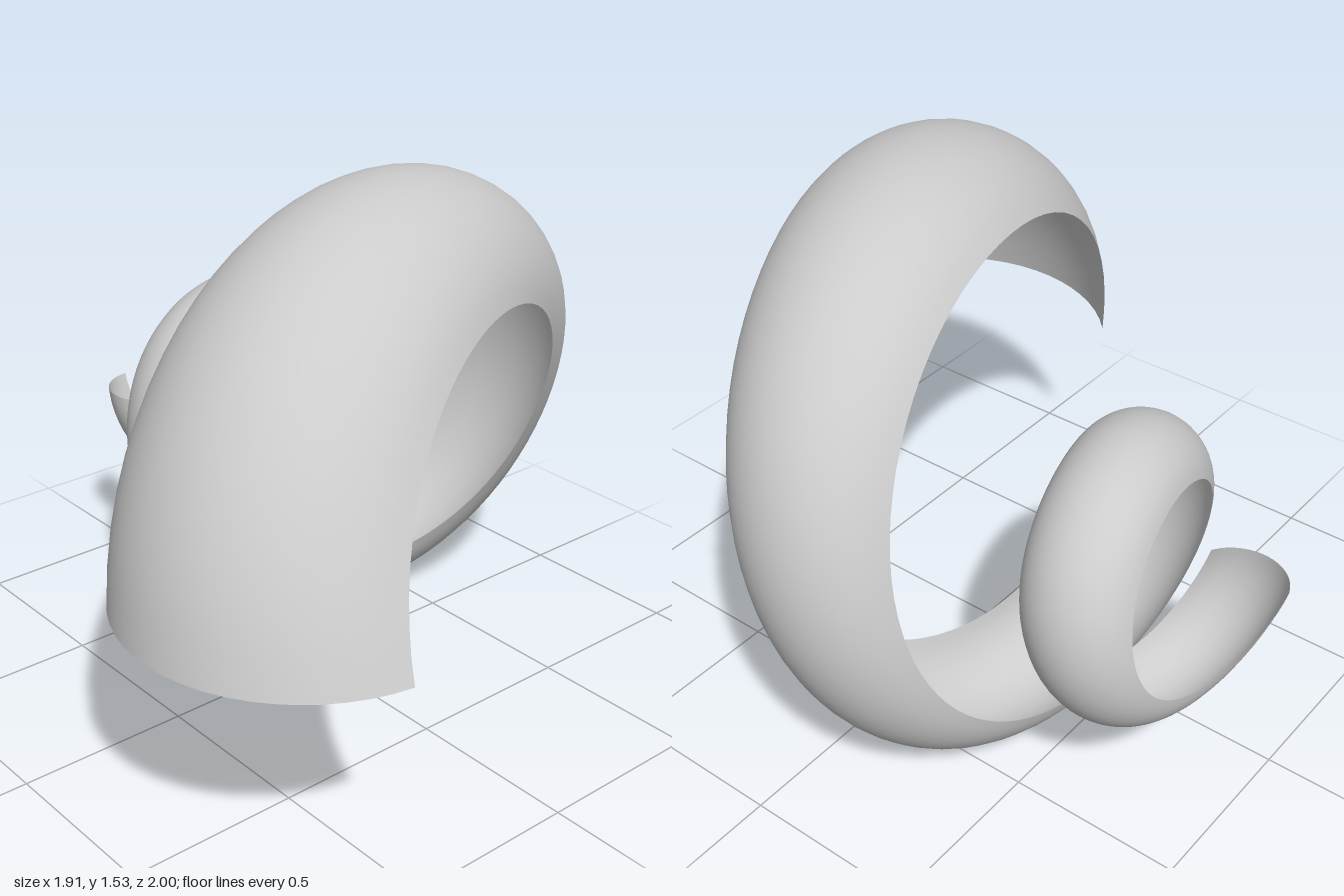
import * as THREE from 'three';

// Spiral axis (runs along z) and mesh resolution
const AXIS_X = 0.22, AXIS_Y = 0.6, TURNS = 2;
const STEPS = 144, ARC = 20;

// A smooth [radius, z] track, one key per quarter turn
const track = (keys) =>
  new THREE.CatmullRomCurve3(keys.map(([r, z]) => new THREE.Vector3(r, z, 0)), false, 'catmullrom', 0.5);

const frontEdge = track([[0.75, 1], [0.615, 0.54], [0.495, 0.16], [0.415, -0.12], [0.35, -0.28],
  [0.3, -0.42], [0.285, -0.51], [0.275, -0.62], [0.25, -0.74]]);
const crest = track([[1.17, 0.5], [0.915, 0.2], [0.73, -0.1], [0.6, -0.33], [0.5, -0.48],
  [0.42, -0.58], [0.38, -0.66], [0.35, -0.75], [0.32, -0.87]]);
const backEdge = track([[1.0, 0.14], [0.75, -0.13], [0.55, -0.35], [0.455, -0.52], [0.37, -0.66],
  [0.295, -0.75], [0.25, -0.83], [0.215, -0.9], [0.19, -1]]);

// Circular arc from a through b to c, sampled evenly
function arcThrough(a, b, c) {
  const d = 2 * (a.x * (b.y - c.y) + b.x * (c.y - a.y) + c.x * (a.y - b.y));
  const [a2, b2, c2] = [a, b, c].map((p) => p.x * p.x + p.y * p.y);
  const cx = (a2 * (b.y - c.y) + b2 * (c.y - a.y) + c2 * (a.y - b.y)) / d;
  const cy = (a2 * (c.x - b.x) + b2 * (a.x - c.x) + c2 * (b.x - a.x)) / d;
  const radius = Math.hypot(a.x - cx, a.y - cy);
  const start = Math.atan2(a.y - cy, a.x - cx);
  const end = Math.atan2(c.y - cy, c.x - cx);
  return (s) => {
    const angle = start + (end - start) * s;
    return [cx + radius * Math.cos(angle), cy + radius * Math.sin(angle)];
  };
}

// Open trough swept around the axis, shrinking towards the back
function spiralGeometry() {
  const positions = [], indices = [];
  for (let i = 0; i <= STEPS; i++) {
    const t = i / STEPS;
    const angle = Math.PI - TURNS * 2 * Math.PI * t;
    const section = arcThrough(frontEdge.getPoint(t), crest.getPoint(t), backEdge.getPoint(t));
    for (let j = 0; j <= ARC; j++) {
      const [r, z] = section(j / ARC);
      positions.push(AXIS_X + r * Math.cos(angle), AXIS_Y + r * Math.sin(angle), z);
      if (i < STEPS && j < ARC) {
        const a = i * (ARC + 1) + j, b = a + ARC + 1;
        indices.push(a, b, a + 1, b, b + 1, a + 1);
      }
    }
  }
  const geometry = new THREE.BufferGeometry();
  geometry.setAttribute('position', new THREE.Float32BufferAttribute(positions, 3));
  geometry.setIndex(indices);
  geometry.computeVertexNormals();
  return geometry;
}

export function createModel() {
  const group = new THREE.Group();
  group.name = 'spiralShell';
  const material = new THREE.MeshStandardMaterial({ color: 0xcccccc, side: THREE.DoubleSide });
  const shell = new THREE.Mesh(spiralGeometry(), material);
  shell.name = 'spiralTrough';
  group.add(shell);
  return group;
}
